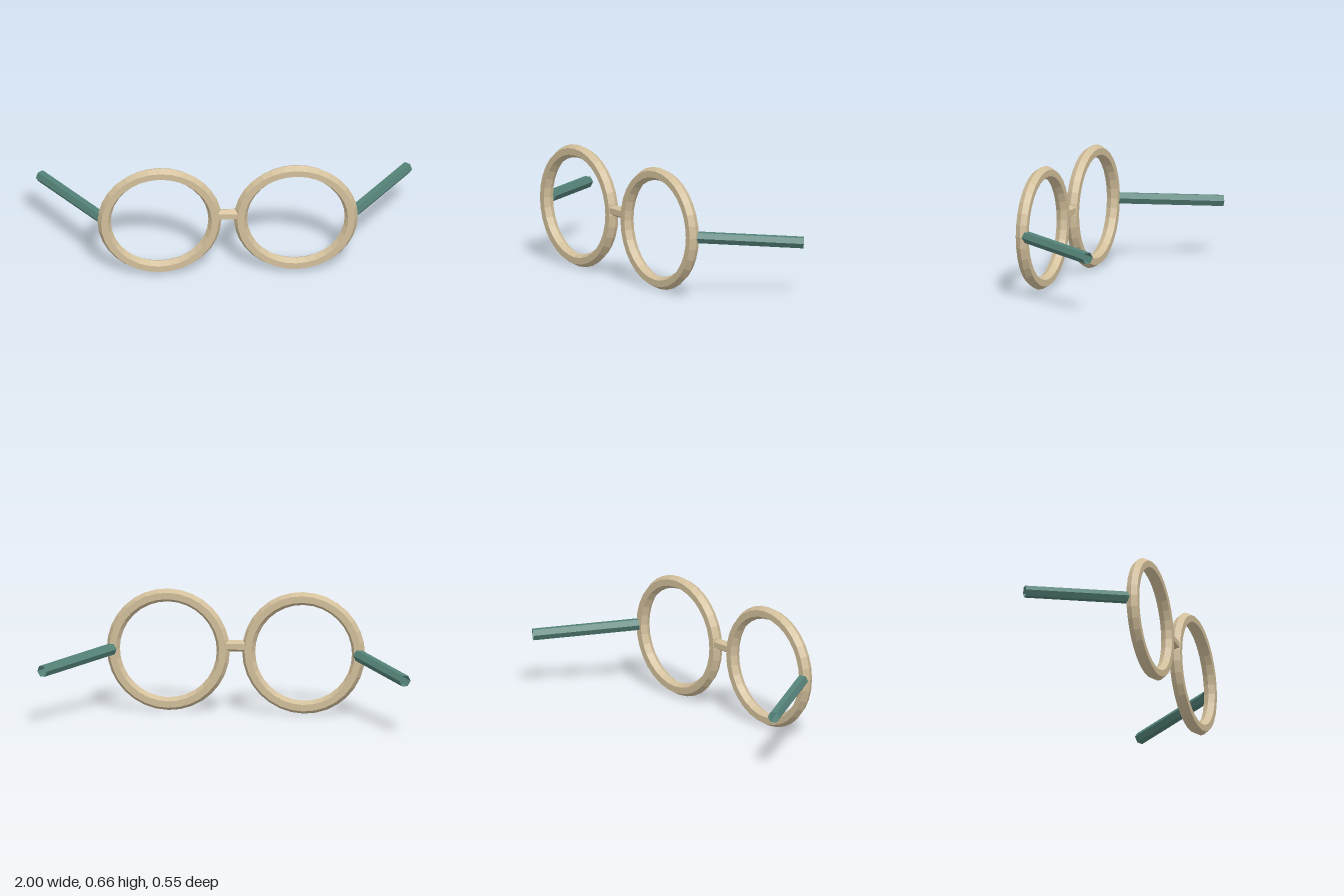
import * as THREE from 'three';

const RIM_X = 0.362, RIM_Y = 0.329, RIM_Z = 0.245;

// Straight open six-sided rod between two points
function rod(name, from, to, radius, material, turn = 0) {
  const dir = to.clone().sub(from);
  const geo = new THREE.CylinderGeometry(radius, radius, dir.length(), 6, 1, true, turn);
  const mesh = new THREE.Mesh(geo, material);
  mesh.name = name;
  mesh.position.copy(from).add(to).multiplyScalar(0.5);
  mesh.quaternion.setFromUnitVectors(new THREE.Vector3(0, 1, 0), dir.normalize());
  return mesh;
}

export function createModel() {
  const tan = new THREE.MeshStandardMaterial({ color: 0xd2bf9b, flatShading: true, side: THREE.DoubleSide });
  tan.name = 'tan frame';
  const teal = new THREE.MeshStandardMaterial({ color: 0x548278, flatShading: true, side: THREE.DoubleSide });
  teal.name = 'teal temples';

  const glasses = new THREE.Group();
  glasses.name = 'glasses';

  // Rims and temples, one per side
  const rimGeo = new THREE.TorusGeometry(0.294, 0.035, 6, 32);
  for (const [side, s] of [['left', 1], ['right', -1]]) {
    const rim = new THREE.Mesh(rimGeo, tan);
    rim.name = side + 'Rim';
    rim.position.set(s * RIM_X, RIM_Y, RIM_Z);
    glasses.add(rim);

    glasses.add(rod(side + 'Temple',
      new THREE.Vector3(s * 0.66, 0.328, 0.218),
      new THREE.Vector3(s * 0.972, 0.294, -0.255), 0.0325, teal));
  }

  // Nose bridge with an edge on top
  glasses.add(rod('bridge',
    new THREE.Vector3(-0.06, 0.357, RIM_Z),
    new THREE.Vector3(0.06, 0.357, RIM_Z), 0.031, tan, Math.PI / 6));

  return glasses;
}
